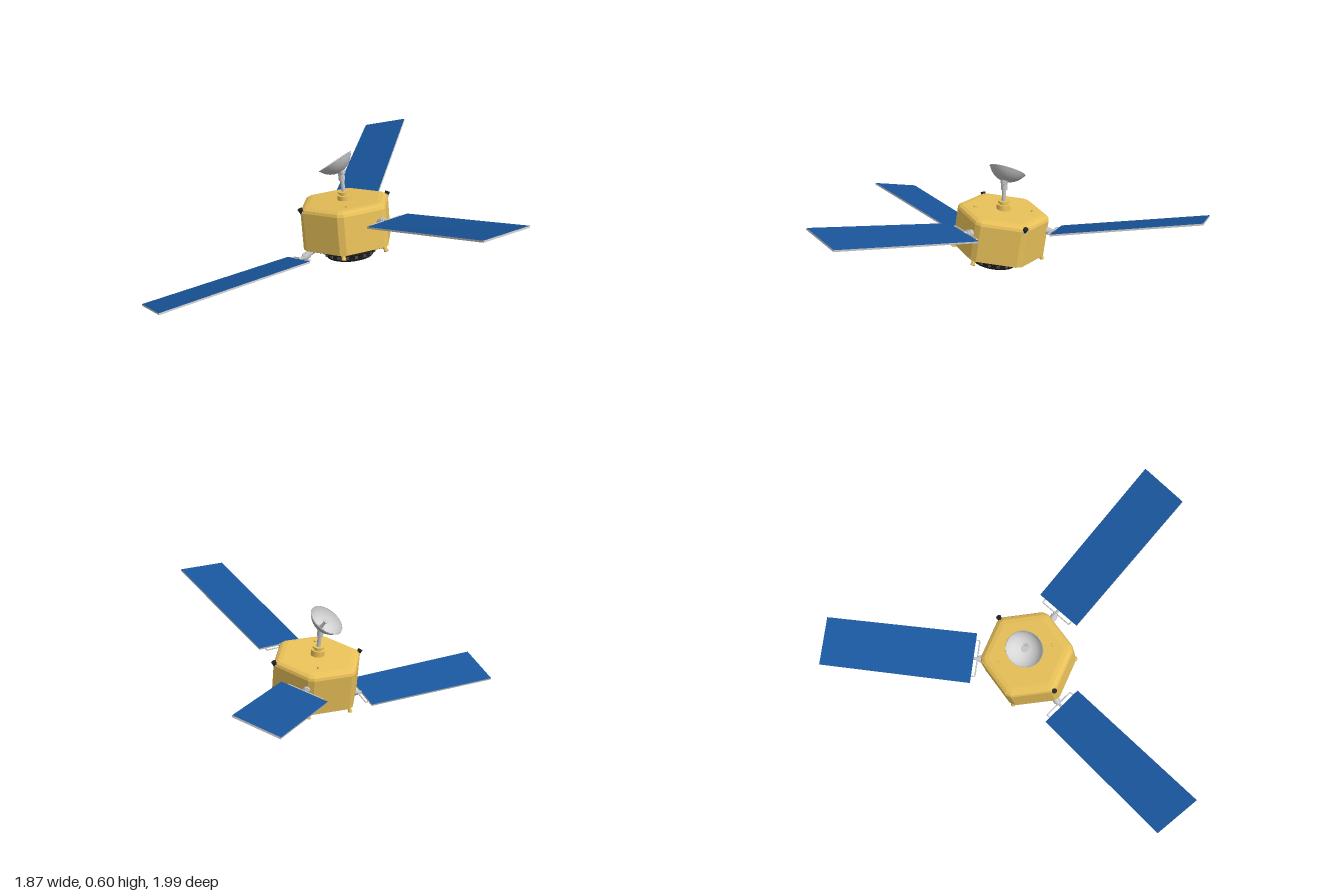
import * as THREE from 'three';

const mat = (name, color, side = THREE.FrontSide) => new THREE.MeshStandardMaterial({ name, color, side });
const V = (x, y, z) => new THREE.Vector3(x, y, z);
const UP = V(0, 1, 0);

function add(parent, name, geometry, material, x = 0, y = 0, z = 0) {
  const m = new THREE.Mesh(geometry, material);
  m.name = name;
  m.position.set(x, y, z);
  parent.add(m);
  return m;
}

// Cylinder between two points
function rod(parent, name, a, b, r0, r1, material, sides = 14) {
  const d = b.clone().sub(a), mid = a.clone().add(b).multiplyScalar(0.5);
  const m = add(parent, name, new THREE.CylinderGeometry(r1, r0, d.length(), sides), material, mid.x, mid.y, mid.z);
  m.quaternion.setFromUnitVectors(UP, d.normalize());
  return m;
}

// Hexagon with clipped corners, extruded upward, with an optional bevel
function hexPrism(radius, clip, y0, y1, bevel, bevelHeight) {
  const pts = [];
  const corner = k => new THREE.Vector2(Math.sin(k * Math.PI / 3), Math.cos(k * Math.PI / 3)).multiplyScalar(radius - bevel * 1.155);
  for (let k = 0; k < 6; k++) {
    pts.push(corner(k).lerp(corner(k - 1), clip), corner(k).lerp(corner(k + 1), clip));
  }
  const g = new THREE.ExtrudeGeometry(new THREE.Shape(pts), {
    depth: y1 - y0 - 2 * bevelHeight, bevelEnabled: bevel > 0, bevelSize: bevel, bevelThickness: bevelHeight, bevelSegments: 3,
  });
  return g.rotateX(-Math.PI / 2).translate(0, y0 + bevelHeight, 0);
}

// Thin slab from four corners, counter-clockwise from above; group 0 faces, group 1 rim
function slab(corners, half) {
  const [a, b, , d] = corners;
  const n = b.clone().sub(a).cross(d.clone().sub(a)).normalize().multiplyScalar(half);
  const t = corners.map(p => p.clone().add(n)), u = corners.map(p => p.clone().sub(n));
  const pos = [];
  const quad = (p, q, r, s) => [p, q, r, p, r, s].forEach(v => pos.push(v.x, v.y, v.z));
  quad(...t);
  quad(u[3], u[2], u[1], u[0]);
  for (let i = 0; i < 4; i++) {
    const j = (i + 1) % 4;
    quad(u[i], u[j], t[j], t[i]);
  }
  const g = new THREE.BufferGeometry();
  g.setAttribute('position', new THREE.Float32BufferAttribute(pos, 3));
  g.computeVertexNormals();
  g.addGroup(0, 12, 0);
  g.addGroup(12, 24, 1);
  return g;
}

export function createModel() {
  const model = new THREE.Group();
  model.name = 'spacecraft';
  const gold = mat('gold foil', 0xf0c75c);
  const blue = mat('solar blue', 0x19559b);
  const black = mat('black base', 0x242424);
  const silver = mat('silver metal', 0xc6c6c8);
  const dishInner = mat('dish inside light grey', 0xd6d6d6, THREE.DoubleSide);
  const dishOuter = mat('dish back grey', 0xb4b4b6);
  const dark = mat('dark metal', 0x484848);

  // Tilted hexagonal body
  const body = new THREE.Group();
  body.name = 'body';
  body.position.set(-0.028, 0.22, 0.11);
  body.quaternion.setFromUnitVectors(UP, V(-0.1, 1, -0.13).normalize());
  body.rotateY(0.09);
  model.add(body);
  add(body, 'bodyShell', hexPrism(0.256, 0.08, -0.11, 0.05, 0, 0), gold);
  add(body, 'bodyTop', hexPrism(0.256, 0.03, 0, 0.122, 0.045, 0.028), gold);
  add(body, 'topHatch', new THREE.CylinderGeometry(0.012, 0.014, 0.008, 14), gold, 0.03, 0.124, 0.15);
  add(body, 'topSensor', new THREE.CylinderGeometry(0.006, 0.006, 0.012, 10), gold, -0.02, 0.126, -0.15);

  // Black underside: hexagonal skirt and round base
  const skirt = new THREE.LatheGeometry([[0, -0.138], [0.15, -0.138], [0.244, -0.112], [0.244, -0.1]]
    .map(p => new THREE.Vector2(...p)), 6).toNonIndexed();
  skirt.computeVertexNormals();
  add(body, 'baseSkirt', skirt, black);
  add(body, 'bodyFloor', hexPrism(0.25, 0.08, -0.113, -0.105, 0, 0), black);
  const base = [[0, -0.19], [0.1, -0.19], [0.122, -0.182], [0.132, -0.165], [0.134, -0.15], [0.15, -0.145], [0.15, -0.13]];
  const drum = new THREE.Group();
  drum.name = 'base';
  drum.position.set(0.008, 0, 0.01);
  body.add(drum);
  add(drum, 'baseDrum', new THREE.LatheGeometry(base.map(p => new THREE.Vector2(...p)), 36), black);
  for (let i = 0; i < 18; i++) {
    const a = i * Math.PI / 9;
    add(drum, 'baseClamp', new THREE.BoxGeometry(0.016, 0.016, 0.01), dark,
      Math.sin(a) * 0.134, -0.158, Math.cos(a) * 0.134).rotation.y = a;
  }

  // Corner thrusters: two opposite corners carry upper units, the other four lower ones
  for (let k = 0; k < 6; k++) {
    const a = k * Math.PI / 3;
    const at = (r, y) => V(Math.sin(a) * r, y, Math.cos(a) * r);
    if (k % 3 === 2) {
      rod(body, 'upperThrusterBlock', at(0.215, 0.088), at(0.25, 0.096), 0.013, 0.013, silver, 10);
      rod(body, 'upperThrusterNozzle', at(0.242, 0.09), at(0.254, 0.116), 0.009, 0.014, black, 12);
    } else {
      add(body, 'topKnob', new THREE.SphereGeometry(0.01, 14, 10), silver, ...at(0.215, 0.108));
      rod(body, 'lowerThrusterBlock', at(0.205, -0.1), at(0.24, -0.116), 0.013, 0.013, gold, 10);
      rod(body, 'lowerThrusterNozzle', at(0.235, -0.112), at(0.244, -0.135), 0.008, 0.013, gold, 12);
      rod(body, 'lowerThrusterThroat', at(0.2435, -0.134), at(0.2442, -0.1365), 0.01, 0.01, dark, 12);
    }
  }

  // Solar wings: far left, near left, near right, far right, seen looking outward
  const wings = [
    ['back', V(-0.1, 0.34, -0.998), V(-0.157, 0.195, -0.207), V(0.1, 0.27, -0.168), V(0.14, 0.41, -0.957)],
    ['right', V(-0.775, 0.085, 0.995), V(-0.17, 0.1, 0.378), V(-0.325, 0.025, 0.203), V(-0.935, 0.006, 0.79)],
    ['left', V(0.935, 0.565, 0.743), V(0.305, 0.315, 0.175), V(0.125, 0.315, 0.367), V(0.737, 0.565, 0.933)],
  ];
  const armStarts = [V(-0.035, 0.228, -0.08), V(-0.15, 0.115, 0.21), V(0.12, 0.265, 0.2)];
  wings.forEach(([side, fl, nl, nr, fr], i) => {
    const wing = new THREE.Group();
    wing.name = side + 'Wing';
    model.add(wing);
    add(wing, 'solarPanel', slab([fl, nl, nr, fr], 0.0048), [blue, silver]);
    const root = nl.clone().lerp(nr, 0.5);
    const out = fl.clone().sub(nl).normalize();
    const hub = root.clone().addScaledVector(out, -0.022);
    rod(wing, 'arm', armStarts[i], hub, 0.016, 0.014, silver);
    rod(wing, 'armCollar', hub.clone().lerp(armStarts[i], 0.35), hub.clone().lerp(armStarts[i], 0.1), 0.019, 0.019, silver);
    // Hinge yoke
    const l = nl.clone().lerp(nr, 0.14), r = nl.clone().lerp(nr, 0.86);
    const lo = l.clone().addScaledVector(out, -0.022), ro = r.clone().addScaledVector(out, -0.022);
    rod(wing, 'yokeBar', lo, ro, 0.0035, 0.0035, silver, 8);
    rod(wing, 'yokeProng', lo, l, 0.0035, 0.0035, silver, 8);
    rod(wing, 'yokeProng', ro, r, 0.0035, 0.0035, silver, 8);
    rod(wing, 'hinge', hub, root, 0.008, 0.008, silver, 10);
  });

  // Antenna mast on a gold foot
  const foot = V(-0.037, 0.33, 0.098), elbow = V(-0.055, 0.475, 0.094);
  const along = t => foot.clone().lerp(elbow, t);
  rod(model, 'mastFlange', foot, along(0.26), 0.038, 0.036, gold, 20);
  rod(model, 'mastFoot', along(0.2), along(0.36), 0.022, 0.022, gold, 20);
  rod(model, 'mastCollar', along(0.34), along(0.4), 0.031, 0.031, gold, 20);
  rod(model, 'mast', along(0.3), elbow, 0.011, 0.011, silver);
  rod(model, 'mastHead', along(0.82), along(1.05), 0.017, 0.017, silver);

  // Dish: light inside, grey back, with its feed
  const dish = new THREE.Group();
  dish.name = 'dishAntenna';
  dish.position.set(-0.055, 0.496, 0.094);
  dish.quaternion.setFromUnitVectors(UP, V(-0.58, 0.78, -0.2).normalize());
  model.add(dish);
  const bowl = [];
  for (let i = 0; i <= 12; i++) {
    const a = i / 12 * 1.13;
    bowl.push(new THREE.Vector2(0.107 * Math.sin(a), 0.107 * (1 - Math.cos(a))));
  }
  const bowlGeometry = new THREE.LatheGeometry(bowl, 40);
  add(dish, 'dishInside', bowlGeometry, dishInner, 0, 0.003, 0);
  add(dish, 'dishBack', bowlGeometry, dishOuter);
  add(dish, 'dishRim', new THREE.TorusGeometry(0.097, 0.002, 8, 40).rotateX(Math.PI / 2), dishOuter, 0, 0.061, 0);
  add(dish, 'dishMount', new THREE.CylinderGeometry(0.024, 0.014, 0.022, 18), silver, 0, -0.006, 0);
  add(dish, 'feedStem', new THREE.CylinderGeometry(0.007, 0.01, 0.05, 12), silver, 0, 0.025, 0);
  add(dish, 'feedCap', new THREE.CylinderGeometry(0.019, 0.009, 0.012, 18), silver, 0, 0.05, 0);

  return model;
}
